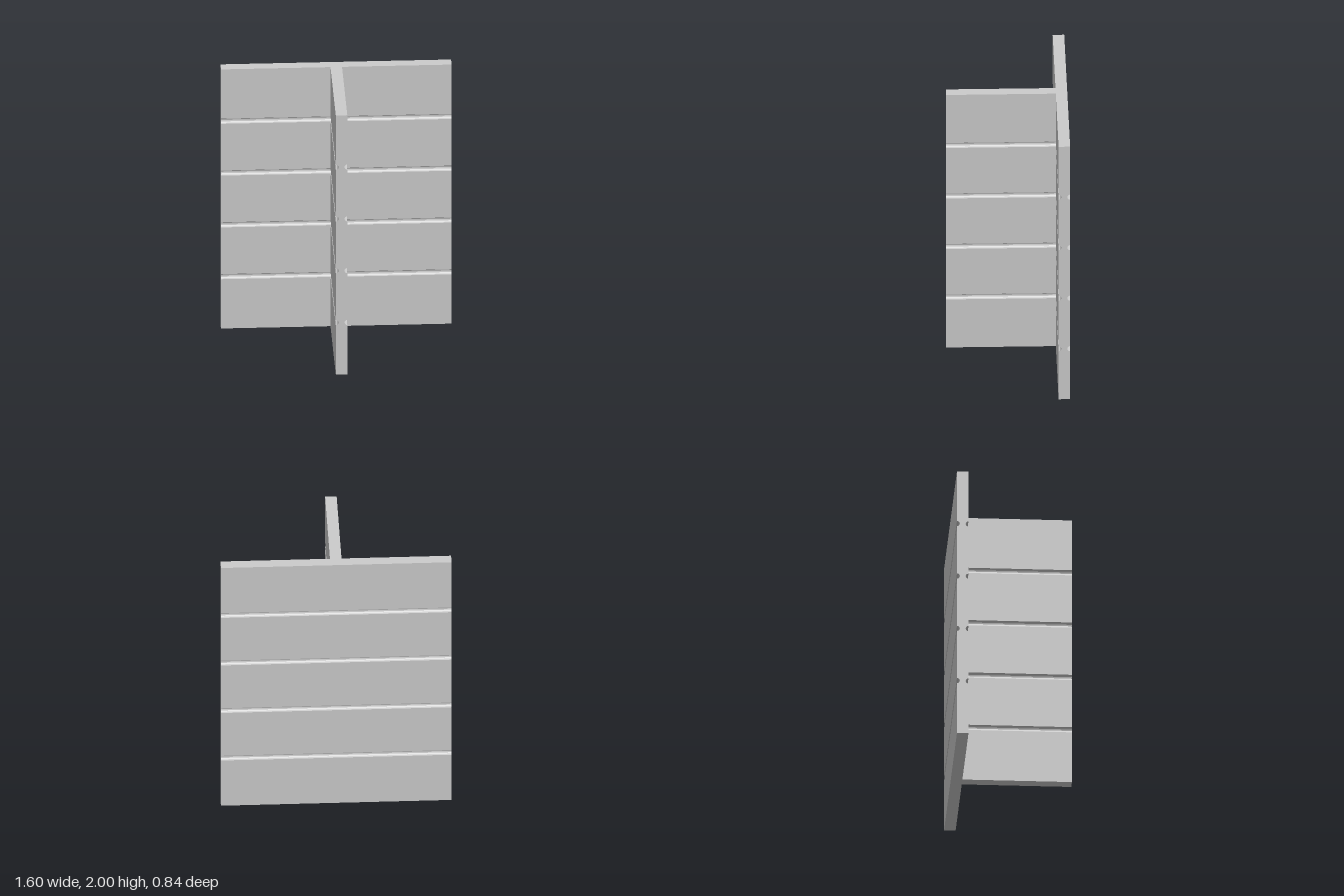
import * as THREE from 'three';

const HEIGHT = 2, RADIUS = 0.02, SEGMENTS = 6;
const GROOVES = [0.4, 0.8, 1.2, 1.6];

// T-shaped cross-section at height y, its long faces cut back by d
function section(y, d) {
  const back = -0.42 + d, front = -0.34 - d, web = 0.04 - d;
  return [
    [-0.8, back], [0.8, back], [0.8, front], [web, front],
    [web, 0.42], [-web, 0.42], [-web, front], [-0.8, front],
  ].map(([x, z]) => [x, y, z]);
}

export function createModel() {
  // Stack of sections: plain walls with a half-round groove at each joint
  const rings = [section(0, 0)];
  for (const y of GROOVES) {
    for (let i = 0; i <= SEGMENTS; i++) {
      const a = -Math.PI / 2 + (Math.PI * i) / SEGMENTS;
      rings.push(section(y + RADIUS * Math.sin(a), RADIUS * Math.cos(a)));
    }
  }
  rings.push(section(HEIGHT, 0));

  const positions = [];
  const tri = (a, b, c) => positions.push(...a, ...b, ...c);

  // Side walls and groove faces
  for (let r = 0; r < rings.length - 1; r++) {
    const low = rings[r], high = rings[r + 1];
    for (let i = 0; i < 8; i++) {
      const j = (i + 1) % 8;
      tri(low[i], high[i], high[j]);
      tri(low[i], high[j], low[j]);
    }
  }

  // Bottom and top caps
  const bottom = rings[0], top = rings[rings.length - 1];
  for (const [a, b, c] of [[0, 1, 3], [1, 2, 3], [0, 3, 6], [0, 6, 7], [6, 3, 4], [6, 4, 5]]) {
    tri(bottom[a], bottom[b], bottom[c]);
    tri(top[c], top[b], top[a]);
  }

  const geometry = new THREE.BufferGeometry();
  geometry.setAttribute('position', new THREE.Float32BufferAttribute(positions, 3));
  geometry.computeVertexNormals();

  const wall = new THREE.Mesh(geometry, new THREE.MeshStandardMaterial({ color: 0xcccccc, flatShading: true }));
  wall.name = 'groovedTeeWall';
  const group = new THREE.Group();
  group.name = 'teeWall';
  group.add(wall);
  return group;
}
